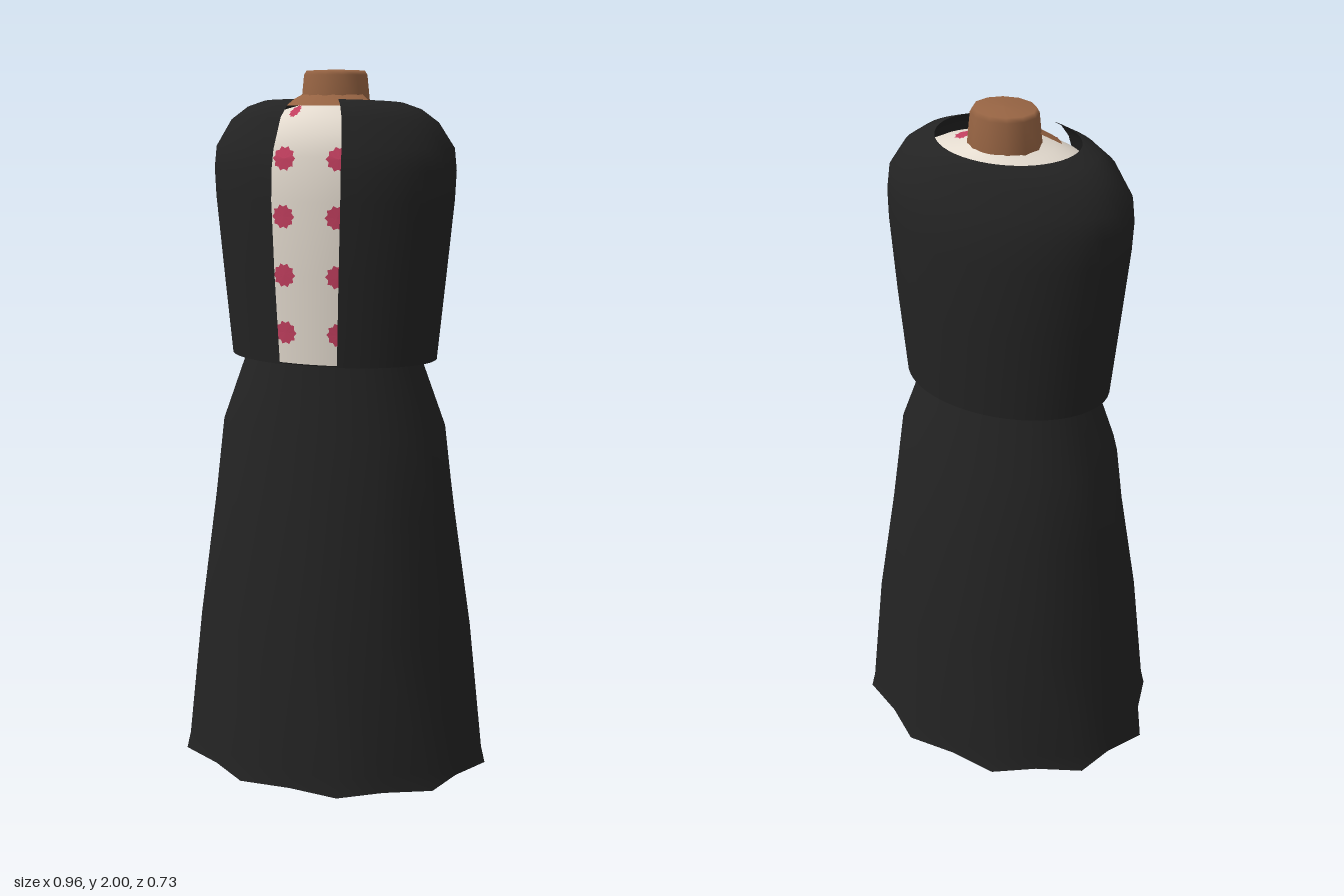
import * as THREE from 'three';

const mat = (name, color, open = true) => {
  const m = new THREE.MeshStandardMaterial({ color, side: open ? THREE.DoubleSide : THREE.FrontSide });
  m.name = name;
  return m;
};

// Section rows: [y, half width, front z, back z, extra]
const SKIRT = [
  [0, 0.48, 0.385, 0.385, 0.075],
  [0.05, 0.468, 0.375, 0.375, 0.07],
  [0.43, 0.425, 0.335, 0.342, 0.05],
  [0.77, 0.372, 0.275, 0.285, 0.03],
  [1.0, 0.34, 0.235, 0.235, 0.015],
  [1.2, 0.26, 0.195, 0.182, 0],
];
const VEST = [ // extra = half width of the front opening
  [1.2, 0.305, 0.205, 0.226, 0.085],
  [1.45, 0.33, 0.217, 0.235, 0.094],
  [1.65, 0.35, 0.221, 0.228, 0.1],
  [1.73, 0.354, 0.218, 0.218, 0.1],
  [1.79, 0.348, 0.206, 0.203, 0.098],
  [1.86, 0.302, 0.178, 0.182, 0.088],
  [1.895, 0.252, 0.157, 0.167, 0.076],
  [1.911, 0.203, 0.138, 0.152, 0.064],
];
const SHIRT = [
  [1.203, 0.293, 0.194, 0.214, 0],
  [1.45, 0.318, 0.206, 0.223, 0],
  [1.65, 0.337, 0.21, 0.216, 0],
  [1.77, 0.33, 0.2, 0.195, 0],
  [1.83, 0.29, 0.178, 0.175, 0],
  [1.873, 0.205, 0.142, 0.15, 0],
  [1.895, 0.125, 0.105, 0.122, 0],
  [1.905, 0.09, 0.07, 0.11, 0],
];

// Row at a fractional index
function rowAt(rows, t) {
  const i = Math.min(rows.length - 2, Math.max(0, Math.floor(t)));
  return rows[i].map((v, k) => v + (rows[i + 1][k] - v) * (t - i));
}

// Point on a section; angle 0 faces the front
function onRow([y, rx, zf, zb], a, grow = 0) {
  const c = Math.cos(a);
  return [(rx + grow) * Math.sin(a), y, ((c > 0 ? zf : zb) + grow) * c];
}

// Smooth surface over a grid of points, joined round if closed
function grid(rows, cols, fn, closed) {
  const pos = [], idx = [], n = closed ? cols : cols + 1;
  for (let i = 0; i < rows; i++) for (let j = 0; j < n; j++) pos.push(...fn(i, j / cols));
  for (let i = 0; i < rows - 1; i++) {
    for (let j = 0; j < cols; j++) {
      const k = (j + 1) % n, a = i * n + j, b = i * n + k, c = a + n, d = b + n;
      idx.push(a, b, c, b, d, c);
    }
  }
  const g = new THREE.BufferGeometry();
  g.setAttribute('position', new THREE.Float32BufferAttribute(pos, 3));
  g.setIndex(idx);
  g.computeVertexNormals();
  return g;
}

// Ragged flower blot; place maps flat offsets to a surface point
function blot(place, radius) {
  return grid(2, 20, (i, u) => {
    const j = Math.round(u * 20), a = u * Math.PI * 2;
    const r = i ? 0 : radius * (j % 2 ? 0.8 : 1);
    return place(r * Math.cos(a), r * Math.sin(a));
  }, true);
}

export function createModel() {
  const group = new THREE.Group();
  const black = mat('black cloth', 0x232323);
  const cream = mat('cream cloth', 0xe4dbcf);
  const pink = mat('pink print', 0xc23f5f);
  const skin = mat('skin', 0x976443);
  const add = (name, geometry, material) => {
    const m = new THREE.Mesh(geometry, material);
    m.name = name;
    group.add(m);
    return m;
  };
  const TAU = Math.PI * 2;

  // Long skirt, its ten flutes fading towards the waist
  add('skirt', grid(SKIRT.length, 20, (i, u) => {
    const a = u * TAU, r = SKIRT[i];
    const f = 1 - r[4] * (1 + Math.cos(10 * a)) / 2;
    const [x, y, z] = onRow(r, a);
    return [x * f, y, z * f];
  }, true), black);

  // Sleeveless vest, open down the front, neckline tilted
  add('vest', grid(VEST.length, 44, (i, u) => {
    const r = VEST[i], a0 = Math.asin(r[4] / r[1]);
    const [x, y, z] = onRow(r, a0 + u * (TAU - 2 * a0));
    return [x, y + (i > 4 ? 0.075 * z : 0), z];
  }, false), black);

  // Shirt under the vest, with its underside at the waist
  add('shirt', grid(SHIRT.length, 44, (i, u) => onRow(SHIRT[i], u * TAU), true), cream);
  add('shirtHem', grid(2, 44, (i, u) => onRow(i ? SHIRT[0] : [1.203, 0.22, 0.15, 0.15], u * TAU), true), cream);

  // Printed flowers in two columns on the shirt front
  const tAt = (y) => {
    let i = 0;
    while (i < SHIRT.length - 2 && SHIRT[i + 1][0] < y) i++;
    return i + (y - SHIRT[i][0]) / (SHIRT[i + 1][0] - SHIRT[i][0]);
  };
  for (const y of [1.29, 1.45, 1.61, 1.765, 1.885]) {
    for (const x of [-0.066, 0.088]) {
      const small = y > 1.8;
      add('flower', blot((dx, dy) => {
        const r = rowAt(SHIRT, tAt(y + dy));
        const p = onRow(r, Math.asin((x + dx) / r[1]), 0.004);
        return [p[0], p[1] + (small ? 0.003 : 0), p[2]];
      }, small ? 0.016 : 0.034), pink);
    }
  }
  // Flowers on the shoulders
  for (const [side, t, size] of [[1, 6.1, 0.036], [-1, 5.05, 0.018]]) {
    add('shoulderFlower', blot((dx, dy) => {
      const r = rowAt(SHIRT, t - dx / 0.08);
      const p = onRow(r, side * (Math.PI / 2 + 0.12 + dy / 0.13));
      return [p[0], p[1] + 0.005, p[2]];
    }, size), pink);
  }

  // Neck stump with a slightly rounded top
  const neckProfile = [[0.103, 1.8], [0.1, 1.9], [0.091, 1.985], [0.084, 1.997], [0, 2]];
  const neck = add('neck', new THREE.LatheGeometry(neckProfile.map((p) => new THREE.Vector2(...p)), 12), skin);
  neck.scale.set(1, 1, 0.9);
  neck.position.z = -0.018;

  // Skin showing in the front of the neckline
  add('chest', grid(2, 12, (i, u) => {
    const a = (u - 0.5) * 2.5;
    return i
      ? [0.09 * Math.sin(a), 1.935, -0.018 + 0.08 * Math.cos(a)]
      : [0.142 * Math.sin(a), 1.903, 0.015 + 0.088 * Math.cos(a)];
  }, false), skin);

  return group;
}
